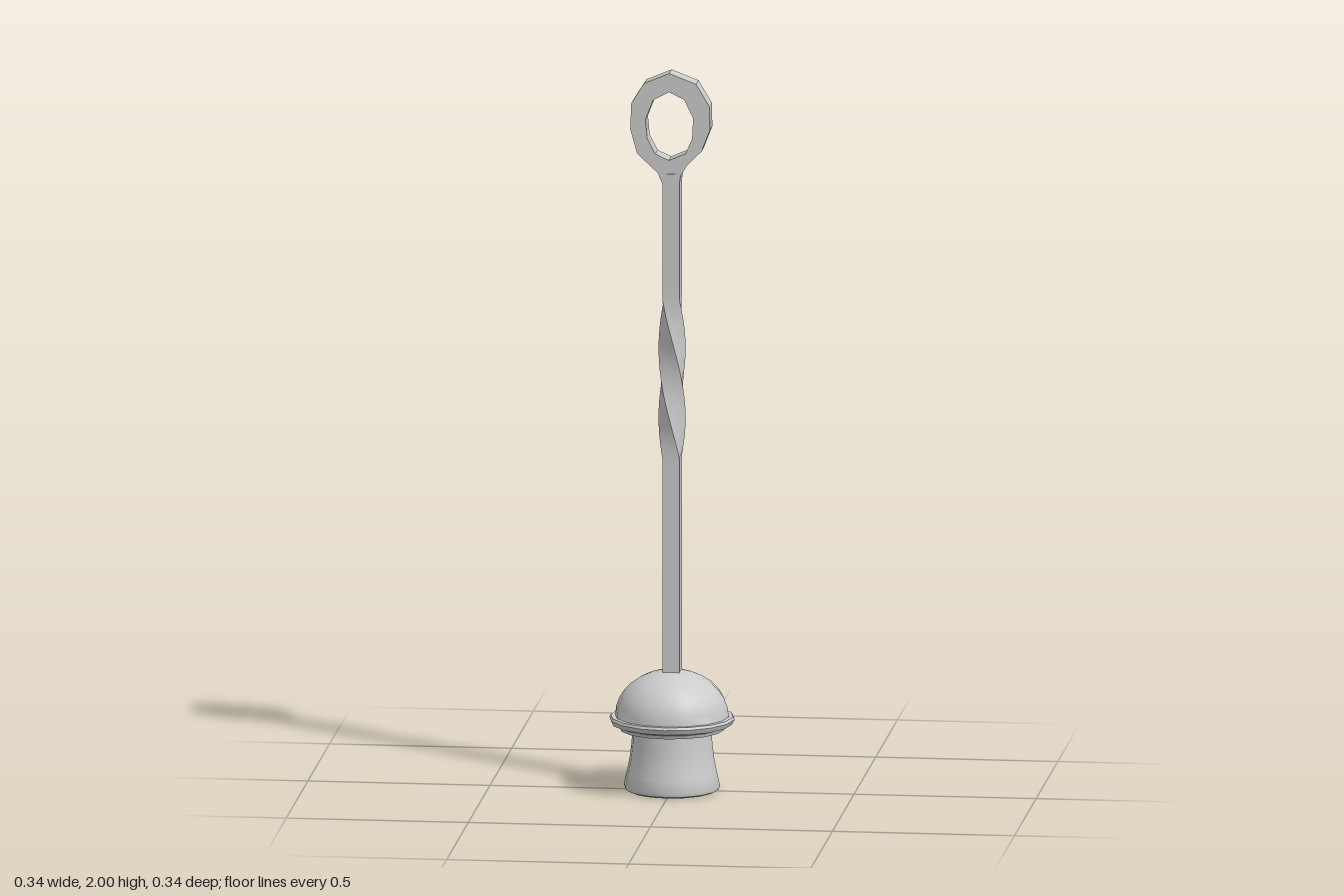
import * as THREE from 'three';
import { toCreasedNormals } from 'three/addons/utils/BufferGeometryUtils.js';

const material = new THREE.MeshStandardMaterial({ color: 0xcccccc });

function part(name, geometry, crease) {
  const mesh = new THREE.Mesh(toCreasedNormals(geometry, crease), material);
  mesh.name = name;
  return mesh;
}

const points = (list) => list.map(([x, y]) => new THREE.Vector2(x, y));

// Flared foot, ridged rim and dome, turned in one piece
function baseGeometry() {
  const profile = [
    [0, 0], [0.118, 0], [0.129, 0.005], [0.132, 0.015], [0.124, 0.05],
    [0.116, 0.09], [0.111, 0.13], [0.109, 0.17],
    [0.143, 0.17], [0.147, 0.18], [0.165, 0.186], [0.172, 0.2], [0.168, 0.207], [0.156, 0.207],
  ];
  const steps = 8;
  for (let i = 1; i <= steps; i++) {
    const a = (i / steps) * Math.PI / 2;
    profile.push([i === steps ? 0 : 0.156 * Math.cos(a), 0.207 + 0.128 * Math.sin(a)]);
  }
  return new THREE.LatheGeometry(points(profile), 16);
}

// Square bar with a half turn of twist in the middle
function rodGeometry() {
  const bottom = 0.31, top = 1.72, twistStart = 0.93, twistEnd = 1.37;
  const geometry = new THREE.BoxGeometry(0.047, top - bottom, 0.057, 1, 64, 1);
  geometry.translate(0, (top + bottom) / 2, 0);
  const p = geometry.attributes.position;
  for (let i = 0; i < p.count; i++) {
    const x = p.getX(i), y = p.getY(i), z = p.getZ(i);
    const t = THREE.MathUtils.clamp((y - twistStart) / (twistEnd - twistStart), 0, 1);
    const c = Math.cos(t * Math.PI), s = Math.sin(t * Math.PI);
    p.setXYZ(i, x * c - z * s, y, x * s + z * c - 0.002);
  }
  return geometry;
}

// Flat faceted eye that narrows into the bar
function eyeGeometry() {
  const shape = new THREE.Shape(points([
    [-0.023, 1.69], [0.023, 1.69], [0.026, 1.715], [0.045, 1.746], [0.084, 1.785], [0.107, 1.845],
    [0.106, 1.91], [0.069, 1.972], [-0.005, 2.0], [-0.074, 1.971],
    [-0.109, 1.915], [-0.112, 1.843], [-0.093, 1.775], [-0.036, 1.722],
  ]));
  shape.holes.push(new THREE.Path(points([
    [-0.006, 1.948], [0.036, 1.928], [0.061, 1.877], [0.058, 1.82], [0.04, 1.778],
    [-0.006, 1.758], [-0.043, 1.775], [-0.065, 1.817], [-0.07, 1.87], [-0.049, 1.925],
  ])));
  const geometry = new THREE.ExtrudeGeometry(shape, { depth: 0.056, bevelEnabled: false });
  return geometry.translate(0, 0, -0.032);
}

export function createModel() {
  const group = new THREE.Group();
  group.name = 'twistedRodWithEye';
  group.add(
    part('domedBase', baseGeometry(), 0.7),
    part('twistedRod', rodGeometry(), 0.6),
    part('eye', eyeGeometry(), 0.5),
  );
  return group;
}
